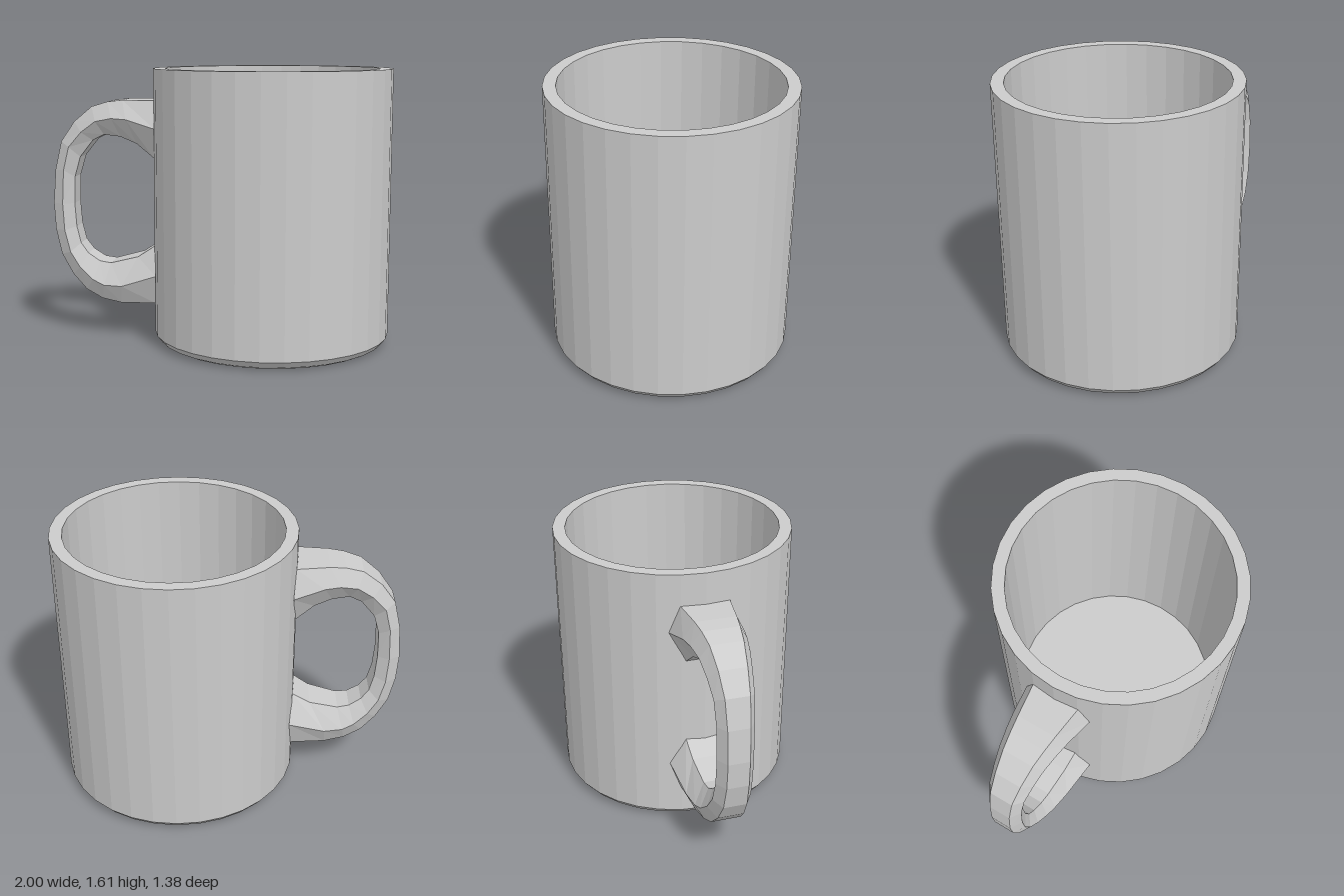
import * as THREE from 'three';

const material = new THREE.MeshStandardMaterial({ color: 0xcccccc, flatShading: true });

// Handle sections from the upper root to the lower root, as x, y of the
// outer edge, the side ridge and the inner edge.
const handleSections = [
  [-0.37, 1.42, -0.355, 1.26, -0.375, 1.08],
  [-0.56, 1.42, -0.53, 1.31, -0.48, 1.165],
  [-0.65, 1.41, -0.62, 1.315, -0.58, 1.205],
  [-0.75, 1.38, -0.72, 1.295, -0.68, 1.215],
  [-0.86, 1.29, -0.81, 1.23, -0.75, 1.18],
  [-0.945, 1.17, -0.89, 1.14, -0.83, 1.08],
  [-0.985, 1.0, -0.925, 1.0, -0.865, 0.96],
  [-1.0, 0.8, -0.935, 0.8, -0.87, 0.8],
  [-0.99, 0.64, -0.925, 0.64, -0.86, 0.66],
  [-0.955, 0.49, -0.89, 0.51, -0.835, 0.56],
  [-0.885, 0.37, -0.83, 0.42, -0.79, 0.5],
  [-0.8, 0.28, -0.75, 0.35, -0.72, 0.455],
  [-0.7, 0.23, -0.68, 0.32, -0.65, 0.445],
  [-0.58, 0.21, -0.57, 0.32, -0.48, 0.49],
  [-0.37, 0.22, -0.355, 0.395, -0.375, 0.56],
];

// Half width of the handle, tapering away from the body
const taper = (x, root, tip) => THREE.MathUtils.mapLinear(x, -0.36, -0.95, root, tip);

function handleGeometry() {
  const positions = [];
  const indices = [];
  for (const [ox, oy, mx, my, ix, iy] of handleSections) {
    const o = taper(ox, 0.14, 0.067);
    const m = taper(mx, 0.2, 0.1);
    const n = taper(ix, 0.11, 0.06);
    positions.push(ox, oy, o, mx, my, m, ix, iy, n, ix, iy, -n, mx, my, -m, ox, oy, -o);
  }
  for (let i = 0; i < handleSections.length - 1; i++) {
    for (let j = 0; j < 6; j++) {
      const a = i * 6 + j;
      const b = i * 6 + ((j + 1) % 6);
      indices.push(a, a + 6, b, b, a + 6, b + 6);
    }
  }
  const geometry = new THREE.BufferGeometry();
  geometry.setAttribute('position', new THREE.Float32BufferAttribute(positions, 3));
  geometry.setIndex(indices);
  geometry.computeVertexNormals();
  return geometry;
}

export function createModel() {
  const group = new THREE.Group();
  group.name = 'mug';

  // Hollow body: chamfered foot, outer wall, rim, inner wall and floor
  const profile = [
    [0, 0], [0.63, 0], [0.665, 0.017], [0.692, 0.052],
    [0.692, 1.605], [0.62, 1.605], [0.62, 0.07], [0, 0.07],
  ].map(([r, y]) => new THREE.Vector2(r, y));
  const body = new THREE.Mesh(new THREE.LatheGeometry(profile, 32), material);
  body.name = 'body';
  body.position.x = 0.307;
  group.add(body);

  // Six-sided handle
  const handle = new THREE.Mesh(handleGeometry(), material);
  handle.name = 'handle';
  group.add(handle);

  return group;
}
